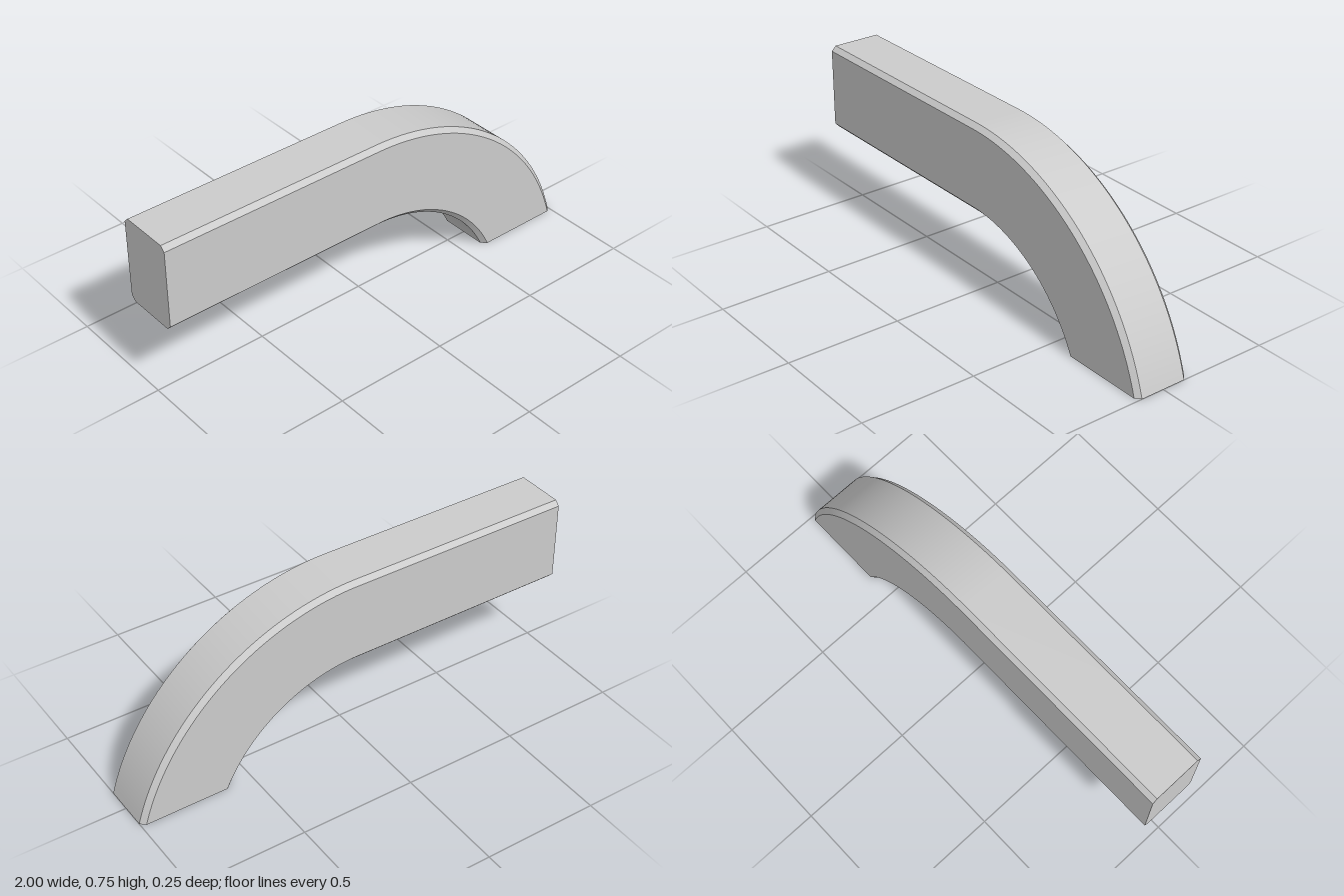
import * as THREE from 'three';
import { toCreasedNormals } from 'three/addons/utils/BufferGeometryUtils.js';

const TOP = 0.75, BOTTOM = 0.37, HALF = 0.125, BEVEL = 0.02;
const CY = -0.2917; // height of the bend's centre, on x = 0
const SEGMENTS = 40;

export function createModel() {
  const outer = TOP - CY, inner = BOTTOM - CY, flat = HALF - BEVEL;

  // Chamfered rectangular section: [distance from bend centre, z]
  const section = [
    [outer, flat], [outer, -flat],
    [outer - BEVEL, -HALF], [inner + BEVEL, -HALF],
    [inner, -flat], [inner, flat],
    [inner + BEVEL, HALF], [outer - BEVEL, HALF],
  ];

  // Straight run, then a concentric bend whose end is cut level with the floor
  const rings = [section.map(([r, z]) => [-1, CY + r, z])];
  for (let i = 0; i <= SEGMENTS; i++) {
    rings.push(section.map(([r, z]) => {
      const a = Math.acos(-CY / r) * i / SEGMENTS;
      return [r * Math.sin(a), CY + r * Math.cos(a), z];
    }));
  }

  const positions = [];
  const tri = (a, b, c) => positions.push(...a, ...b, ...c);
  const n = section.length;

  // Skin between neighbouring sections
  for (let i = 0; i < rings.length - 1; i++) {
    for (let j = 0; j < n; j++) {
      const k = (j + 1) % n, p = rings[i], q = rings[i + 1];
      tri(p[j], q[j], q[k]);
      tri(p[j], q[k], p[k]);
    }
  }

  // End caps
  const first = rings[0], last = rings[rings.length - 1];
  for (let j = 1; j < n - 1; j++) {
    tri(first[0], first[j], first[j + 1]);
    tri(last[0], last[j + 1], last[j]);
  }

  const geometry = new THREE.BufferGeometry();
  geometry.setAttribute('position', new THREE.Float32BufferAttribute(positions, 3));
  const beam = new THREE.Mesh(
    toCreasedNormals(geometry, Math.PI / 6),
    new THREE.MeshStandardMaterial({ color: 0xcccccc }),
  );
  beam.name = 'curvedBeam';

  const group = new THREE.Group();
  group.name = 'bentBeam';
  group.add(beam);
  return group;
}
